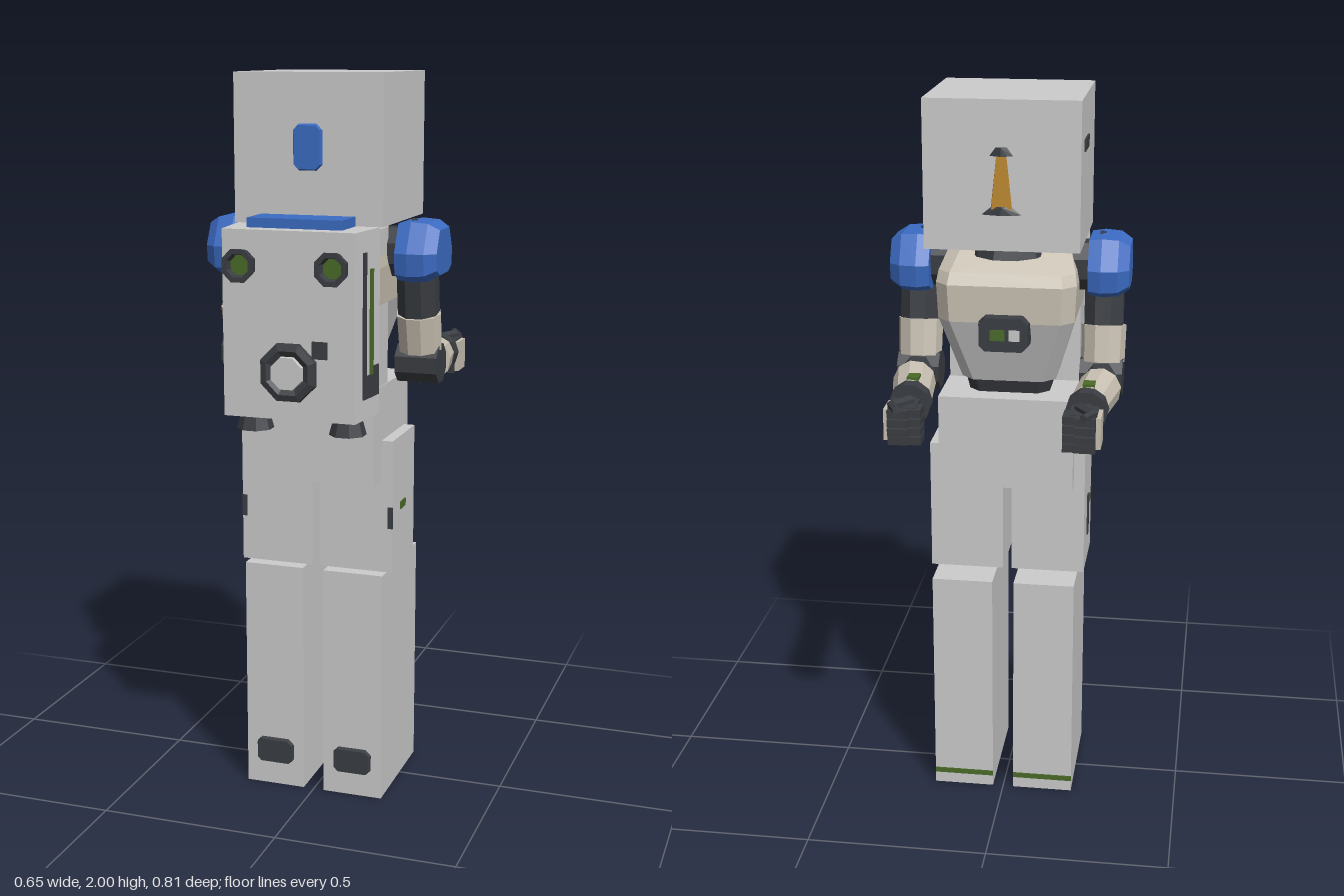
import * as THREE from 'three';
import { ConvexGeometry } from 'three/addons/geometries/ConvexGeometry.js';

const mat = (color) => new THREE.MeshStandardMaterial({ color, flatShading: true, side: THREE.DoubleSide });
const grey = mat(0xcccccc), blue = mat(0x3c6cc4), dark = mat(0x3a3d42), green = mat(0x4a6b28),
  cream = mat(0xc8c0b2), orange = mat(0xc08a30);
const V = (x, y, z) => new THREE.Vector3(x, y, z);

export function createModel() {
  const root = new THREE.Group();
  const add = (name, geo, m) => {
    const mesh = new THREE.Mesh(geo, m);
    mesh.name = name;
    root.add(mesh);
    return mesh;
  };
  // box from its minimum and maximum corners, mirrored in x when s is -1
  const box = (name, m, x0, x1, y0, y1, z0, z1, s = 1) => {
    const g = new THREE.BoxGeometry(x1 - x0, y1 - y0, z1 - z0);
    return add(name, g.translate(s * (x0 + x1) / 2, (y0 + y1) / 2, (z0 + z1) / 2), m);
  };
  // tapered cylinder from point a to point b
  const limb = (name, m, a, b, ra, rb, n = 8) => {
    const mesh = add(name, new THREE.CylinderGeometry(rb, ra, a.distanceTo(b), n).rotateY(Math.PI / n), m);
    mesh.position.copy(a).lerp(b, 0.5);
    mesh.quaternion.setFromUnitVectors(V(0, 1, 0), b.clone().sub(a).normalize());
    return mesh;
  };
  // convex solid from horizontal rows [y, half width, front z, back z] with cut front corners
  const rows = (name, m, list, cut) => add(name, new ConvexGeometry(list.flatMap(([y, w, z0, z1]) =>
    [-1, 1].flatMap((s) => [V(s * (w - cut), y, z0), V(s * w, y, z0 + cut), V(s * w, y, z1)]))), m);
  // bevelled plate standing on a z face
  const plate = (name, m, x, y, z, w, h, d) => {
    const pts = [];
    for (const sx of [-1, 1]) for (const sy of [-1, 1]) {
      const X = sx * w / 2, Y = sy * h / 2, c = Math.min(w, h) * 0.2;
      for (const [k, dz] of [[0, 0], [0.004, d]]) {
        pts.push(V(x + X - sx * c, y + Y - sy * k, z + dz), V(x + X - sx * k, y + Y - sy * c, z + dz));
      }
    }
    return add(name, new ConvexGeometry(pts), m);
  };
  // eight-sided cup opening along +z
  const cup = (name, m, x, y, z, profile) => {
    const g = new THREE.LatheGeometry(profile.map(([r, h]) => new THREE.Vector2(r, h)), 8);
    return add(name, g.rotateY(Math.PI / 8).rotateX(Math.PI / 2).translate(x, y, z), m);
  };

  // head and its fittings
  box('head', grey, -0.205, 0.205, 1.61, 2, -0.164, 0.216);
  plate('headPlate', blue, 0, 1.81, 0.216, 0.08, 0.12, 0.01);
  box('headSideSlot', dark, -0.21, -0.204, 1.86, 1.89, -0.09, 0.01);
  add('faceStripe', new ConvexGeometry([-1, 1].flatMap((s) => [
    V(s * 0.028, 1.72, -0.163), V(s * 0.013, 1.86, -0.163), V(s * 0.026, 1.72, -0.169), V(s * 0.012, 1.86, -0.169)])), orange);
  for (const [y, w] of [[1.715, 0.055], [1.867, 0.032]]) {
    add('faceStripeEnd', new ConvexGeometry([-1, 1].flatMap((s) => [
      V(s * w, y - 0.01, -0.163), V(s * w * 0.5, y + 0.012, -0.163), V(s * w * 0.5, y - 0.01, -0.171)])
      .concat([V(0, y - 0.01, -0.176), V(0, y + 0.012, -0.174)])), dark);
  }
  limb('neck', dark, V(0, 1.57, -0.01), V(0, 1.615, -0.01), 0.1, 0.085, 10);

  // chest
  rows('upperChest', cream, [[1.4, 0.185, -0.112, 0.2], [1.5, 0.19, -0.112, 0.22],
    [1.53, 0.185, -0.095, 0.25], [1.595, 0.16, -0.01, 0.25]], 0.035);
  rows('lowerChest', grey, [[1.22, 0.13, -0.05, 0.2], [1.4, 0.184, -0.111, 0.2]], 0.035);
  rows('waist', dark, [[1.17, 0.11, -0.025, 0.18], [1.23, 0.12, -0.045, 0.18]], 0.03);
  plate('chestUnit', dark, 0, 1.375, -0.1, 0.14, 0.1, -0.04);
  box('chestUnitWindow', green, -0.005, 0.035, 1.36, 1.39, -0.143, -0.138);
  box('chestUnitBlock', grey, -0.045, -0.015, 1.36, 1.39, -0.143, -0.138);

  // backpack
  add('backpack', new ConvexGeometry([-1, 1].flatMap((s) => [1.12, 1.61].flatMap((y) =>
    [V(s * 0.18, y, 0.37), V(s * 0.197, y, 0.215)]))), grey);
  box('backpackCore', grey, -0.185, 0.185, 1.18, 1.6, 0.1, 0.22);
  box('backpackLid', blue, -0.13, 0.13, 1.6, 1.635, 0.2, 0.323);
  for (const s of [-1, 1]) {
    cup('backThruster', dark, s * 0.125, 1.52, 0.365,
      [[0.038, 0], [0.046, 0.035], [0.046, 0.04], [0.032, 0.04], [0.026, 0.015]]);
    cup('thrusterLens', green, s * 0.125, 1.52, 0.365, [[0.028, 0.02], [0, 0.02]]);
    limb('bottomNozzle', dark, V(s * 0.13, 1.07, 0.275), V(s * 0.13, 1.125, 0.275), 0.05, 0.035);
    // fittings along the slanted backpack sides
    const strip = (name, m, y0, y1, z0, z1) => {
      const mesh = add(name, new THREE.BoxGeometry(0.01, y1 - y0, z1 - z0), m);
      const z = (z0 + z1) / 2;
      mesh.position.set(s * (0.18 + (0.37 - z) * 0.11), (y0 + y1) / 2, z);
      mesh.rotation.y = -s * 0.11;
    };
    strip('sideRail', dark, 1.18, 1.555, 0.307, 0.323);
    strip('sideLight', green, 1.23, 1.51, 0.263, 0.279);
    strip('sideBlock', dark, 1.175, 1.255, 0.228, 0.262);
    strip('sideBase', dark, 1.175, 1.235, 0.228, 0.323);
  }
  cup('backHatchRing', dark, 0, 1.245, 0.365, [[0.084, 0], [0.08, 0.015], [0.062, 0.02], [0.046, 0.012], [0.046, 0]]);
  cup('backHatch', grey, 0, 1.245, 0.365, [[0.047, 0], [0.045, 0.025], [0, 0.025]]);
  box('backpackLatch', dark, 0.065, 0.107, 1.285, 1.33, 0.368, 0.376);

  // hips
  box('hips', grey, -0.187, 0.187, 0.92, 1.18, -0.09, 0.227);

  for (const s of [-1, 1]) {
    // legs
    box('thigh', grey, 0.012, 0.218, 0.66, 1.03, -0.055, 0.155, s);
    box('shin', grey, 0.03, 0.2, 0, 0.657, -0.15, 0.185, s);
    plate('footPlate', dark, s * 0.115, 0.103, 0.185, 0.11, 0.075, 0.011);
    box('heelStripe', green, 0.03, 0.2, 0.033, 0.048, -0.153, -0.149, s);
    box('thighClip', dark, 0.205, 0.219, 0.785, 0.845, 0.15, 0.158, s);
    if (s > 0) box('thighLight', green, 0.217, 0.221, 0.822, 0.843, 0.035, 0.082);
    else {
      box('thighHolster', dark, 0.217, 0.222, 0.74, 0.86, 0.03, 0.055, s);
      box('thighLight', green, 0.217, 0.223, 0.83, 0.85, 0.055, 0.08, s);
    }

    // shoulder: stacked octagons narrowing outward
    const oct = [[0.157, 1.535], [0.115, 1.615], [-0.015, 1.615], [-0.057, 1.535], [-0.05, 1.475], [-0.01, 1.455], [0.11, 1.455], [0.15, 1.475]];
    const pad = [[0.215, 0.94], [0.25, 1], [0.295, 0.96], [0.325, 0.74]].flatMap(([x, k]) =>
      oct.map(([z, y]) => V(s * x, 1.535 + (y - 1.535) * k, 0.05 + (z - 0.05) * k)));
    add('shoulderPad', new ConvexGeometry(pad), blue);
    limb('shoulderJoint', dark, V(s * 0.17, 1.53, 0.05), V(s * 0.23, 1.53, 0.05), 0.07, 0.07);
    add('shoulderMark', new THREE.CylinderGeometry(0.01, 0.01, 0.006, 3).rotateY(s * Math.PI / 2)
      .translate(s * 0.245, 1.617, 0.062), dark);

    // arm
    const x = s * 0.255;
    limb('upperArm', dark, V(x, 1.48, 0.06), V(x, 1.34, 0.04), 0.057, 0.057);
    limb('upperArmBand', cream, V(x, 1.365, 0.045), V(x, 1.265, 0.025), 0.062, 0.06, 10);
    limb('elbow', dark, V(s * 0.195, 1.225, 0.018), V(s * 0.312, 1.225, 0.018), 0.056, 0.056);
    limb('elbowSleeve', dark, V(x, 1.22, 0.02), V(s * 0.254, 1.215, -0.075), 0.055, 0.052);
    limb('forearm', cream, V(s * 0.256, 1.215, -0.065), V(s * 0.236, 1.207, -0.21), 0.059, 0.052, 10);
    box('forearmLight', green, 0.22, 0.252, 1.255, 1.266, -0.195, -0.157, s);
    limb('wristCuff', dark, V(s * 0.236, 1.207, -0.21), V(s * 0.235, 1.207, -0.25), 0.057, 0.057, 10);
    limb('wrist', dark, V(s * 0.235, 1.2, -0.245), V(s * 0.235, 1.195, -0.285), 0.034, 0.034);

    // hand with curled fingers, a raised pointing finger and a cream back plate
    box('palm', dark, 0.2, 0.272, 1.14, 1.235, -0.355, -0.275, s);
    box('handPlate', cream, 0.27, 0.283, 1.145, 1.23, -0.36, -0.285, s);
    for (let i = 0; i < 4; i++) {
      const y = 1.137 + i * 0.025;
      box('knuckle', dark, 0.215, 0.27, y, y + 0.021, -0.38 + (i === 0 ? 0.008 : 0), -0.35, s);
      box('fingerTip', dark, 0.184, 0.222, y, y + 0.021, -0.367, -0.31, s);
    }
    limb('thumbBase', dark, V(s * 0.222, 1.235, -0.3), V(s * 0.258, 1.24, -0.36), 0.017, 0.014, 6);
    limb('thumbTip', dark, V(s * 0.262, 1.24, -0.35), V(s * 0.24, 1.242, -0.4), 0.013, 0.01, 6);
  }
  return root;
}
